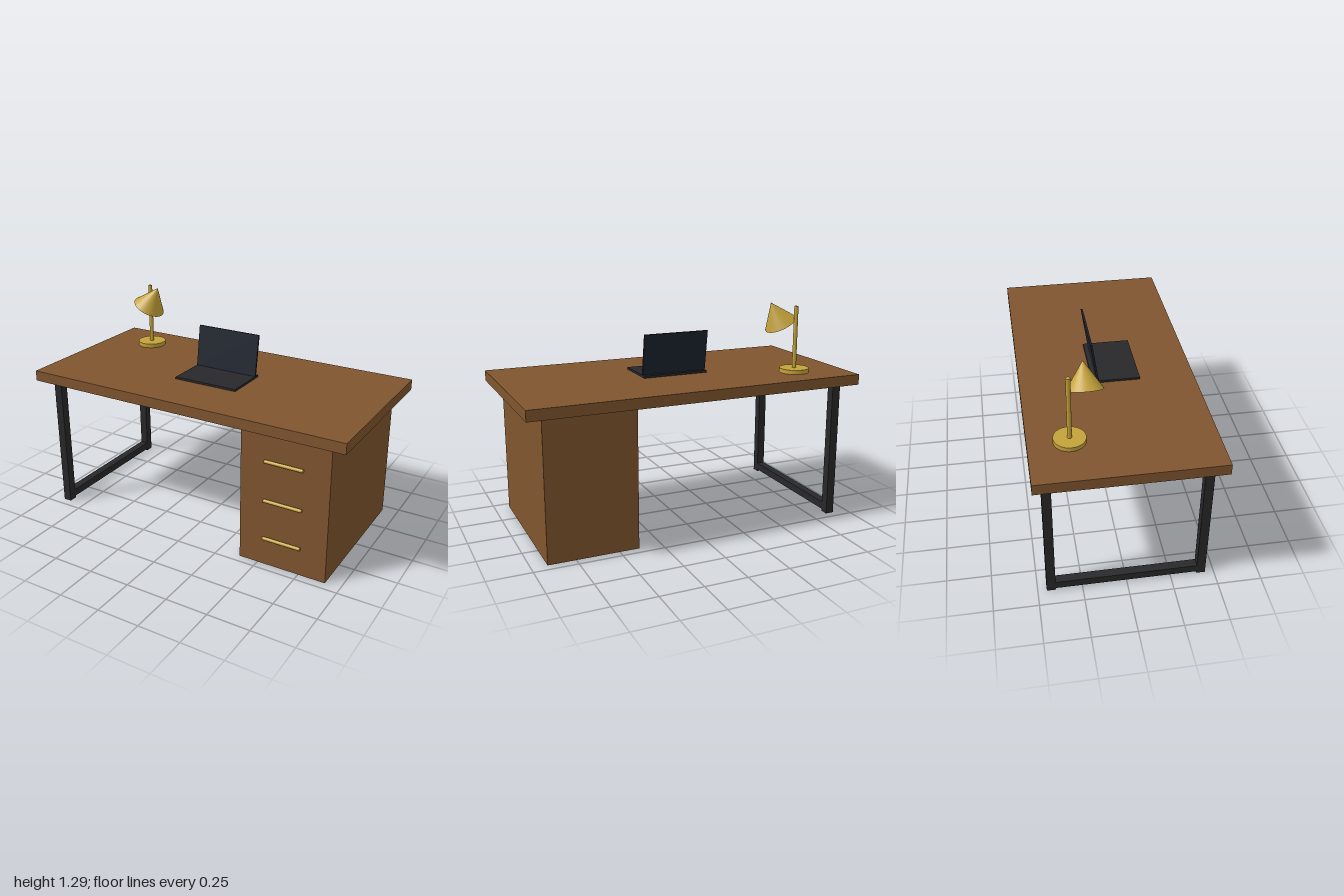
import * as THREE from 'three';

const mat = (color, extra = {}) => new THREE.MeshStandardMaterial({ color, ...extra });

export function createModel() {
  const desk = new THREE.Group();
  desk.name = 'desk';
  const wood = mat(0x80552f), steel = mat(0x28282a), brass = mat(0xc4a23a);

  const add = (parent, name, geometry, material, x, y, z) => {
    const mesh = new THREE.Mesh(geometry, material);
    mesh.name = name;
    mesh.position.set(x, y, z);
    parent.add(mesh);
    return mesh;
  };
  const group = (name, x = 0, y = 0, z = 0) => {
    const g = new THREE.Group();
    g.name = name;
    g.position.set(x, y, z);
    desk.add(g);
    return g;
  };
  const box = (w, h, d) => new THREE.BoxGeometry(w, h, d);
  const TOP = 0.877, UNDER = 0.815;

  // Table top
  add(desk, 'tableTop', box(2, TOP - UNDER, 1), wood, 0, (TOP + UNDER) / 2, 0);

  // Drawer cabinet with three bar handles
  const cabinet = group('drawerCabinet', 0.6475);
  add(cabinet, 'cabinetBody', box(0.525, UNDER, 0.9), wood, 0, UNDER / 2, 0);
  for (const y of [0.172, 0.408, 0.645]) {
    const handle = add(cabinet, 'drawerHandle', new THREE.CylinderGeometry(0.01, 0.01, 0.226, 16), brass, 0, y, 0.4625);
    handle.rotation.z = Math.PI / 2;
  }

  // Leg frame: two posts joined by a low rail
  const frame = group('legFrame', -0.88);
  for (const side of [1, -1]) {
    add(frame, side > 0 ? 'frontLeg' : 'backLeg', box(0.05, UNDER, 0.05), steel, 0, UNDER / 2, side * 0.425);
  }
  add(frame, 'footRail', box(0.05, 0.046, 0.8), steel, 0, 0.036, 0);

  // Laptop: flat base and screen leaning back from its hinge
  const laptop = group('laptop', 0, TOP, 0);
  add(laptop, 'laptopBase', box(0.4, 0.0125, 0.274), steel, 0, 0.00625, 0.05);
  const screen = add(laptop, 'laptopScreen', box(0.4, 0.25, 0.0115), mat(0x1b212c), 0, 0.131, -0.0735);
  screen.rotation.x = -0.15;

  // Desk lamp: disc foot, pole and tilted open shade
  const lamp = group('deskLamp', -0.69, TOP, -0.276);
  add(lamp, 'lampFoot', new THREE.CylinderGeometry(0.0875, 0.0875, 0.025, 32), brass, 0, 0.0125, 0);
  add(lamp, 'lampPole', new THREE.CylinderGeometry(0.0125, 0.0125, 0.37, 16), brass, 0, 0.208, 0);
  const shade = add(lamp, 'lampShade', new THREE.ConeGeometry(0.099, 0.148, 32, 1, true),
    mat(0xc4a23a, { side: THREE.DoubleSide }), 0.085, 0.344, 0.089);
  shade.rotation.z = -0.5;

  return desk;
}
